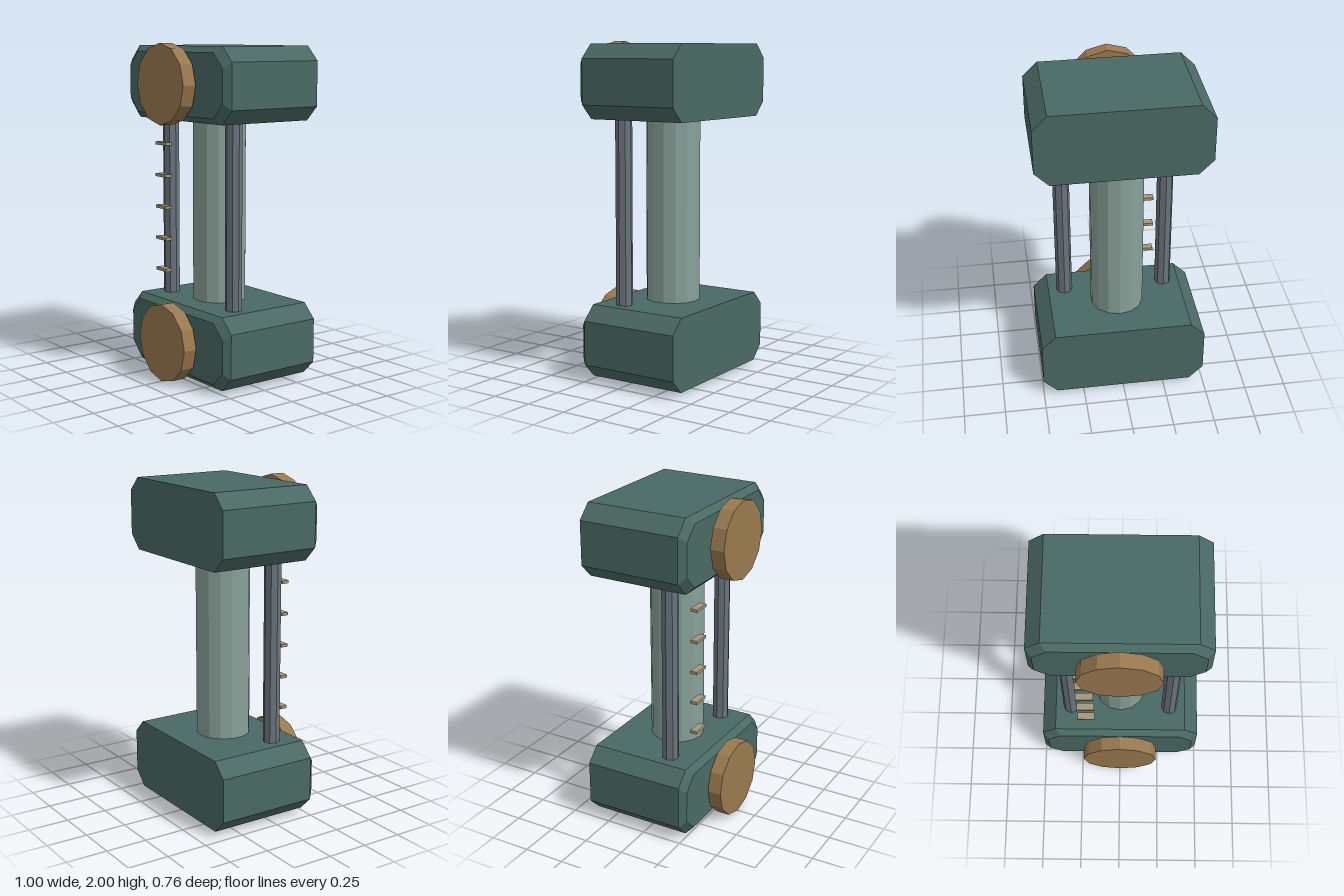
import * as THREE from 'three';

const paint = (name, color) => {
  const m = new THREE.MeshStandardMaterial({ color });
  m.name = name;
  return m;
};

// Octagonal outline: a rectangle with cut corners, counter-clockwise from the front
const octagon = (w, h, cut) => [
  [w, cut - h], [w, h - cut], [w - cut, h], [cut - w, h],
  [-w, h - cut], [-w, cut - h], [cut - w, -h], [w - cut, -h],
];

// Block lofted through three octagons, with a bevel around the front only
function blockGeometry() {
  const rings = [
    { z: -0.38, w: 0.5, h: 0.217 },
    { z: 0.243, w: 0.5, h: 0.217 },
    { z: 0.28, w: 0.465, h: 0.182 },
  ].map(({ z, w, h }) => octagon(w, h, 0.085).map(([x, y]) => [x, y, z]));
  const pos = [];
  const tri = (a, b, c) => pos.push(...a, ...b, ...c);
  for (let r = 0; r < 2; r++) {
    for (let i = 0; i < 8; i++) {
      const j = (i + 1) % 8;
      tri(rings[r][i], rings[r][j], rings[r + 1][j]);
      tri(rings[r][i], rings[r + 1][j], rings[r + 1][i]);
    }
  }
  for (let i = 1; i < 7; i++) {
    tri(rings[2][0], rings[2][i], rings[2][i + 1]);
    tri(rings[0][0], rings[0][i + 1], rings[0][i]);
  }
  const g = new THREE.BufferGeometry();
  g.setAttribute('position', new THREE.Float32BufferAttribute(pos, 3));
  g.computeVertexNormals();
  return g;
}

export function createModel() {
  const model = new THREE.Group();
  model.name = 'columnFrame';
  const green = paint('dark green', 0x4a6964);
  const sage = paint('pale green', 0x88a198);
  const steel = paint('steel grey', 0x69747c);
  const bronze = paint('bronze', 0x99794f);
  const tan = paint('rung tan', 0xa3977c);
  for (const m of [green, sage, steel, bronze, tan]) m.flatShading = true;

  const add = (name, geometry, material, x, y, z) => {
    const mesh = new THREE.Mesh(geometry, material);
    mesh.name = name;
    mesh.position.set(x, y, z);
    model.add(mesh);
  };

  // Upper and lower blocks, each with a round disc in front
  const block = blockGeometry();
  const disc = new THREE.CylinderGeometry(0.235, 0.235, 0.085, 12).rotateX(Math.PI / 2);
  for (const [level, y] of [['lower', 0.238], ['upper', 1.767]]) {
    add(level + 'Block', block, green, 0, y, 0);
    add(level + 'Disc', disc, bronze, 0, y < 1 ? 0.235 : 1.765, 0.338);
  }

  // Central column
  add('column', new THREE.CylinderGeometry(0.162, 0.162, 1.16, 14), sage, 0, 1.003, -0.05);

  // Slim side posts
  const post = new THREE.CylinderGeometry(0.05, 0.05, 1.16, 8);
  add('leftPost', post, steel, 0.315, 1.003, 0.085);
  add('rightPost', post, steel, -0.315, 1.003, 0.085);

  // Ladder rungs beside the right post
  const rung = new THREE.BoxGeometry(0.107, 0.018, 0.044);
  for (let i = 0; i < 5; i++) add('rung' + (i + 1), rung, tan, -0.214, 0.628 + i * 0.193, 0.212);

  return model;
}
